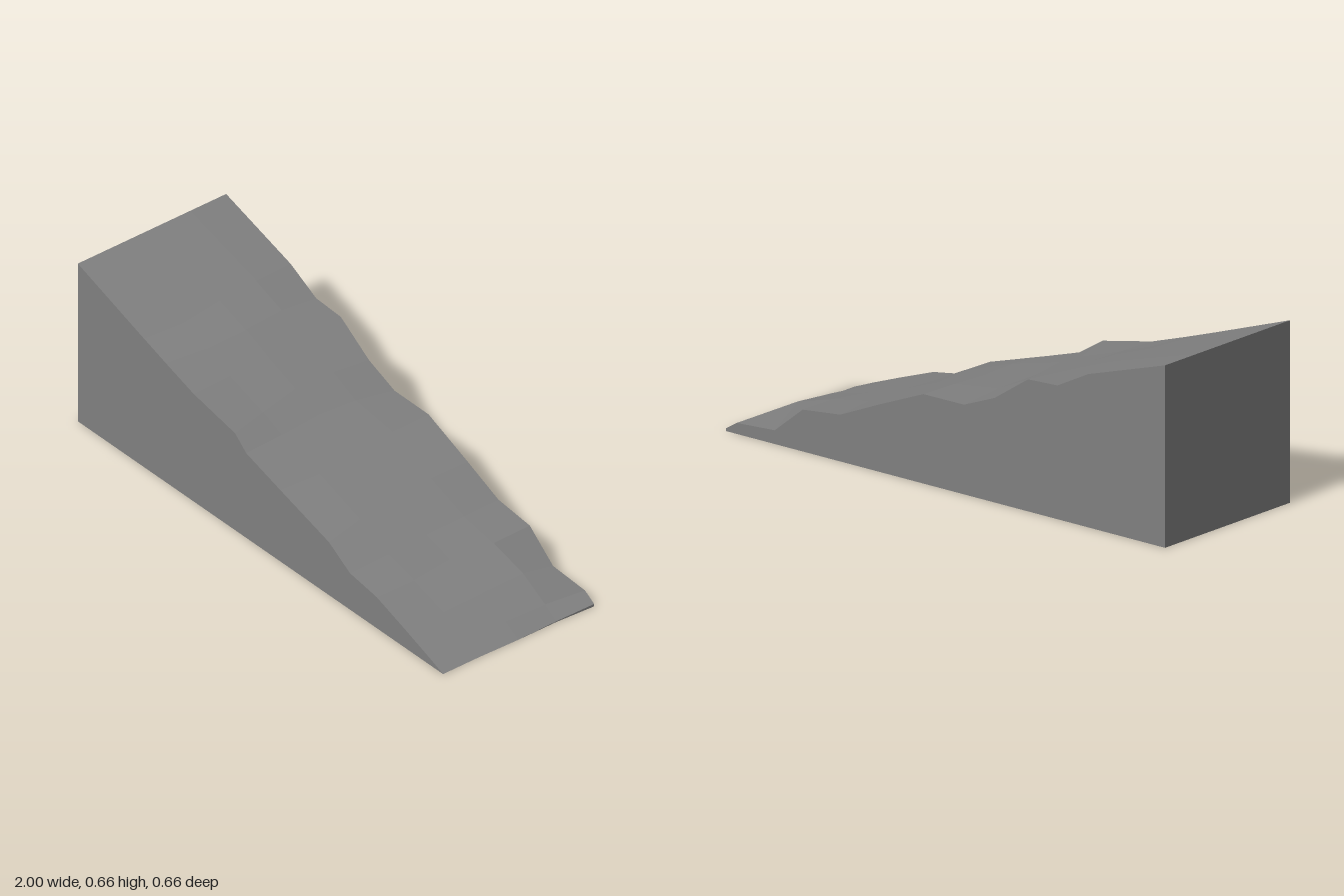
import * as THREE from 'three';

// Rough slope: one profile per depth, each a run of [x, y] from crest to toe
const profiles = [
  { z: 0.332, pts: [[-1, 0.663], [-0.64, 0.54], [-0.52, 0.5], [-0.37, 0.452], [-0.145, 0.407], [-0.085, 0.356], [0.1, 0.3], [0.366, 0.222], [0.479, 0.153], [0.625, 0.13], [0.77, 0.08], [0.9, 0.033], [0.985, 0]] },
  { z: 0.17, pts: [[-1, 0.663], [-0.62, 0.547], [-0.5, 0.5], [-0.37, 0.457], [-0.19, 0.4], [-0.09, 0.358], [0.12, 0.308], [0.34, 0.234], [0.49, 0.167], [0.63, 0.132], [0.79, 0.085], [0.91, 0.036], [0.985, 0]] },
  { z: 0, pts: [[-1, 0.663], [-0.63, 0.56], [-0.49, 0.512], [-0.37, 0.462], [-0.22, 0.408], [-0.11, 0.352], [0.1, 0.315], [0.32, 0.238], [0.49, 0.176], [0.62, 0.14], [0.8, 0.098], [0.92, 0.04], [0.99, 0]] },
  { z: -0.17, pts: [[-1, 0.663], [-0.64, 0.562], [-0.5, 0.513], [-0.38, 0.466], [-0.22, 0.402], [-0.1, 0.348], [0.1, 0.322], [0.31, 0.24], [0.49, 0.177], [0.65, 0.15], [0.81, 0.108], [0.93, 0.042], [0.99, 0.003]] },
  { z: -0.332, pts: [[-1, 0.663], [-0.65, 0.557], [-0.51, 0.486], [-0.377, 0.48], [-0.224, 0.38], [-0.085, 0.326], [0.1, 0.325], [0.313, 0.24], [0.479, 0.17], [0.65, 0.152], [0.777, 0.05], [0.95, 0.04], [1, 0.01]] },
];

const material = new THREE.MeshStandardMaterial({ color: 0x808080 });
const rampNormal = new THREE.Vector3(1, 3, 0).normalize();

// Builds a mesh of four-cornered patches, one normal per patch;
// soften leans those normals towards the overall ramp to mute the facets
function quadMesh(name, quads, soften = 0) {
  const pos = [], normals = [];
  for (const [a, b, c, d] of quads) {
    const corner = (p) => new THREE.Vector3(...p);
    const n = corner(c).sub(corner(a)).cross(corner(d).sub(corner(b))).normalize();
    n.lerp(rampNormal, soften).normalize();
    for (const p of [a, b, c, a, c, d]) {
      pos.push(...p);
      normals.push(n.x, n.y, n.z);
    }
  }
  const geo = new THREE.BufferGeometry();
  geo.setAttribute('position', new THREE.Float32BufferAttribute(pos, 3));
  geo.setAttribute('normal', new THREE.Float32BufferAttribute(normals, 3));
  const mesh = new THREE.Mesh(geo, material);
  mesh.name = name;
  return mesh;
}

export function createModel() {
  const group = new THREE.Group();
  group.name = 'rockyRamp';
  const r = profiles.length - 1, e = profiles[0].pts.length - 1;
  const top = (i, j) => [...profiles[j].pts[i], profiles[j].z];
  const foot = (i, j) => [profiles[j].pts[i][0], 0, profiles[j].z];
  const slope = [], front = [], back = [], crest = [], toe = [], base = [];

  for (let i = 0; i < e; i++) {
    const k = i + 1;
    for (let j = 0; j < r; j++) {
      slope.push([top(i, j), top(k, j), top(k, j + 1), top(i, j + 1)]);
      base.push([foot(i, j), foot(i, j + 1), foot(k, j + 1), foot(k, j)]);
    }
    front.push([foot(i, 0), foot(k, 0), top(k, 0), top(i, 0)]);
    back.push([foot(k, r), foot(i, r), top(i, r), top(k, r)]);
  }
  // Tall end wall and the thin lip at the toe
  for (let j = 0; j < r; j++) {
    crest.push([foot(0, j + 1), foot(0, j), top(0, j), top(0, j + 1)]);
    toe.push([foot(e, j), foot(e, j + 1), top(e, j + 1), top(e, j)]);
  }

  group.add(
    quadMesh('roughSlope', slope, 0.55),
    quadMesh('frontWall', front),
    quadMesh('backWall', back),
    quadMesh('tallEndWall', crest),
    quadMesh('toeLip', toe),
    quadMesh('base', base),
  );
  return group;
}
